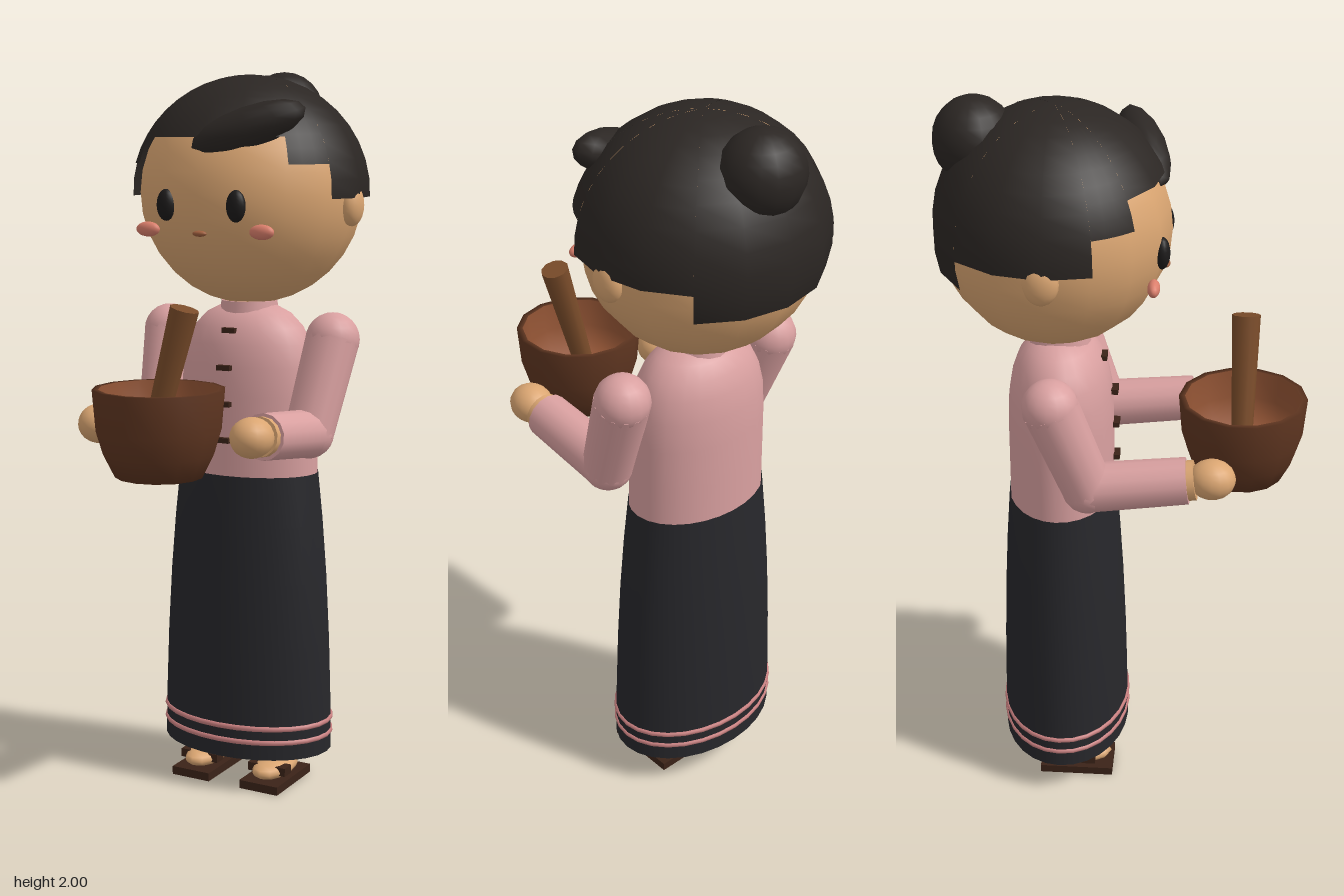
import * as THREE from 'three';

const mat = (color, side = THREE.FrontSide) => new THREE.MeshStandardMaterial({ color, side });
const SKIN = mat(0xdba672), PINK = mat(0xd9a0a0), STRIPE = mat(0xc98080);
const SKIRT = mat(0x27272b, THREE.DoubleSide), HAIR = mat(0x2b2623, THREE.DoubleSide);
const DARK = mat(0x1c1a1a), BROWN = mat(0x3b2318), CHEEK = mat(0xdb7f6c), MOUTH = mat(0xa0603f);
const BOWL = mat(0x5e3520), BOWL_IN = mat(0x8f5233), PESTLE = mat(0x7a4c2a);
const CZ = -0.17; // body axis in z
const V = (x, y, z) => new THREE.Vector3(x, y, z);

export function createModel() {
  const root = new THREE.Group();

  const add = (name, geometry, material, x = 0, y = 0, z = 0, parent = root) => {
    const m = new THREE.Mesh(geometry, material);
    m.name = name;
    m.position.set(x, y, z);
    parent.add(m);
    return m;
  };
  const ball = (name, material, r, p, parent = root, w = 16, h = 12) => {
    const g = new THREE.SphereGeometry(1, w, h).scale(r[0], r[1], r[2]);
    return add(name, g, material, p[0], p[1], p[2], parent);
  };
  // Tapered cylinder between two points
  const rod = (name, material, a, b, ra, rb, seg, parent = root) => {
    const g = new THREE.CylinderGeometry(rb, ra, a.distanceTo(b), seg);
    const mid = a.clone().add(b).multiplyScalar(0.5);
    const m = add(name, g, material, mid.x, mid.y, mid.z, parent);
    m.quaternion.setFromUnitVectors(V(0, 1, 0), b.clone().sub(a).normalize());
    return m;
  };
  // Turned profile of [radius, y] pairs, optionally flattened front to back
  const lathe = (pts, seg, depth = 1) =>
    new THREE.LatheGeometry(pts.map(p => new THREE.Vector2(p[0], p[1])), seg).scale(1, 1, depth);

  // Head and face
  const head = new THREE.Group();
  head.name = 'head';
  root.add(head);
  ball('face', SKIN, [0.31, 0.305, 0.3], [0, 1.67, -0.177], head, 16, 16);
  ball('mouth', MOUTH, [0.021, 0.008, 0.01], [0, 1.57, 0.108], head);
  for (const s of [-1, 1]) {
    ball('eye', DARK, [0.027, 0.042, 0.02], [s * 0.105, 1.643, 0.102], head);
    ball('cheek', CHEEK, [0.036, 0.02, 0.016], [s * 0.172, 1.577, 0.085], head);
    ball('ear', SKIN, [0.03, 0.056, 0.045], [s * 0.305, 1.64, -0.18], head);
  }

  // Hair cap: sphere patches whose hem steps down from brow to nape
  const hair = new THREE.Group();
  hair.name = 'hair';
  root.add(hair);
  const patches = [[-45, 45, 1.82], [45, 67.5, 1.75], [67.5, 135, 1.66],
    [135, 225, 1.58], [225, 292.5, 1.66], [292.5, 315, 1.75]];
  for (const [a0, a1, hem] of patches) {
    const g = new THREE.SphereGeometry(1, Math.round((a1 - a0) / 22.5), 10,
      THREE.MathUtils.degToRad(90 + a0), THREE.MathUtils.degToRad(a1 - a0),
      0, Math.acos((hem - 1.67) / 0.317));
    add('hairCap', g.scale(0.33, 0.317, 0.316), HAIR, 0, 1.67, -0.175, hair);
  }
  ball('bun', HAIR, [0.112, 0.11, 0.105], [0, 1.89, -0.375], hair);
  const tuft = ball('frontTuft', HAIR, [0.158, 0.055, 0.056], [0.108, 1.843, 0.042], hair, 12, 8);
  tuft.rotation.set(0, 0.35, 0.33);

  // Neck, collar and blouse
  add('neck', new THREE.CylinderGeometry(0.07, 0.07, 0.12, 16), SKIN, 0, 1.36, CZ);
  add('collar', new THREE.CylinderGeometry(0.078, 0.085, 0.05, 16), PINK, 0, 1.35, CZ);
  const torso = [[0.205, 0.88], [0.204, 1.0], [0.203, 1.12], [0.198, 1.2], [0.183, 1.26],
    [0.16, 1.305], [0.125, 1.34], [0.075, 1.365], [0, 1.37]];
  add('blouse', lathe(torso, 24, 0.7), PINK, 0, 0, CZ);
  [[1.3, -0.055], [1.2, -0.026], [1.1, -0.023], [1.0, -0.022]].forEach(([y, z]) =>
    add('button', new THREE.BoxGeometry(0.04, 0.014, 0.02), BROWN, 0, y, z));

  // Long skirt with two hem stripes
  const skirt = [[0.254, 0.1], [0.251, 0.25], [0.245, 0.42], [0.235, 0.6], [0.222, 0.76], [0.207, 0.9]];
  add('skirt', lathe(skirt, 28, 0.71), SKIRT, 0, 0, CZ);
  for (const y of [0.15, 0.19]) {
    const g = new THREE.TorusGeometry(0.25, 0.008, 8, 28).rotateX(Math.PI / 2).scale(1, 1, 0.715);
    add('hemStripe', g, STRIPE, 0, y, CZ);
  }

  for (const s of [-1, 1]) {
    // Arm bent forward, with hand
    const arm = new THREE.Group();
    arm.name = s > 0 ? 'leftArm' : 'rightArm';
    root.add(arm);
    const shoulder = V(s * 0.257, 1.278, CZ), elbow = V(s * 0.232, 1.03, -0.08);
    const cuff = V(s * 0.228, 1.06, 0.18), wrist = V(s * 0.228, 1.063, 0.2);
    ball('shoulder', PINK, [0.074, 0.074, 0.074], shoulder.toArray(), arm);
    rod('upperSleeve', PINK, shoulder, elbow, 0.074, 0.068, 14, arm);
    ball('elbow', PINK, [0.068, 0.068, 0.068], elbow.toArray(), arm);
    rod('lowerSleeve', PINK, elbow, cuff, 0.066, 0.062, 14, arm);
    rod('wrist', SKIN, cuff, wrist, 0.053, 0.053, 14, arm);
    ball('hand', SKIN, [0.057, 0.053, 0.062], [s * 0.23, 1.068, 0.244], arm);

    // Leg, foot and sandal
    const leg = new THREE.Group();
    leg.name = s > 0 ? 'leftLeg' : 'rightLeg';
    root.add(leg);
    add('shin', new THREE.CylinderGeometry(0.06, 0.055, 0.42, 14), SKIN, s * 0.11, 0.3, CZ, leg);
    ball('foot', SKIN, [0.054, 0.028, 0.1], [s * 0.11, 0.045, -0.13], leg, 12, 8);
    add('sole', new THREE.BoxGeometry(0.12, 0.024, 0.21), BROWN, s * 0.11, 0.012, -0.13, leg);
    add('strap', new THREE.BoxGeometry(0.118, 0.024, 0.04), BROWN, s * 0.11, 0.05, -0.095, leg);
  }

  // Mortar bowl and leaning pestle
  const mortar = new THREE.Group();
  mortar.name = 'mortar';
  mortar.position.z = 0.318;
  root.add(mortar);
  const outer = [[0, 0.96], [0.115, 0.96], [0.145, 1.02], [0.163, 1.08], [0.172, 1.188], [0.156, 1.188]];
  const inner = [[0.156, 1.188], [0.148, 1.11], [0.122, 1.04], [0, 1.03]];
  add('bowlOutside', lathe(outer, 14), BOWL, 0, 0, 0, mortar);
  add('bowlInside', lathe(inner, 14), BOWL_IN, 0, 0, 0, mortar);
  rod('pestle', PESTLE, V(-0.025, 1.035, 0), V(0.077, 1.395, 0), 0.027, 0.038, 10, mortar);

  return root;
}
